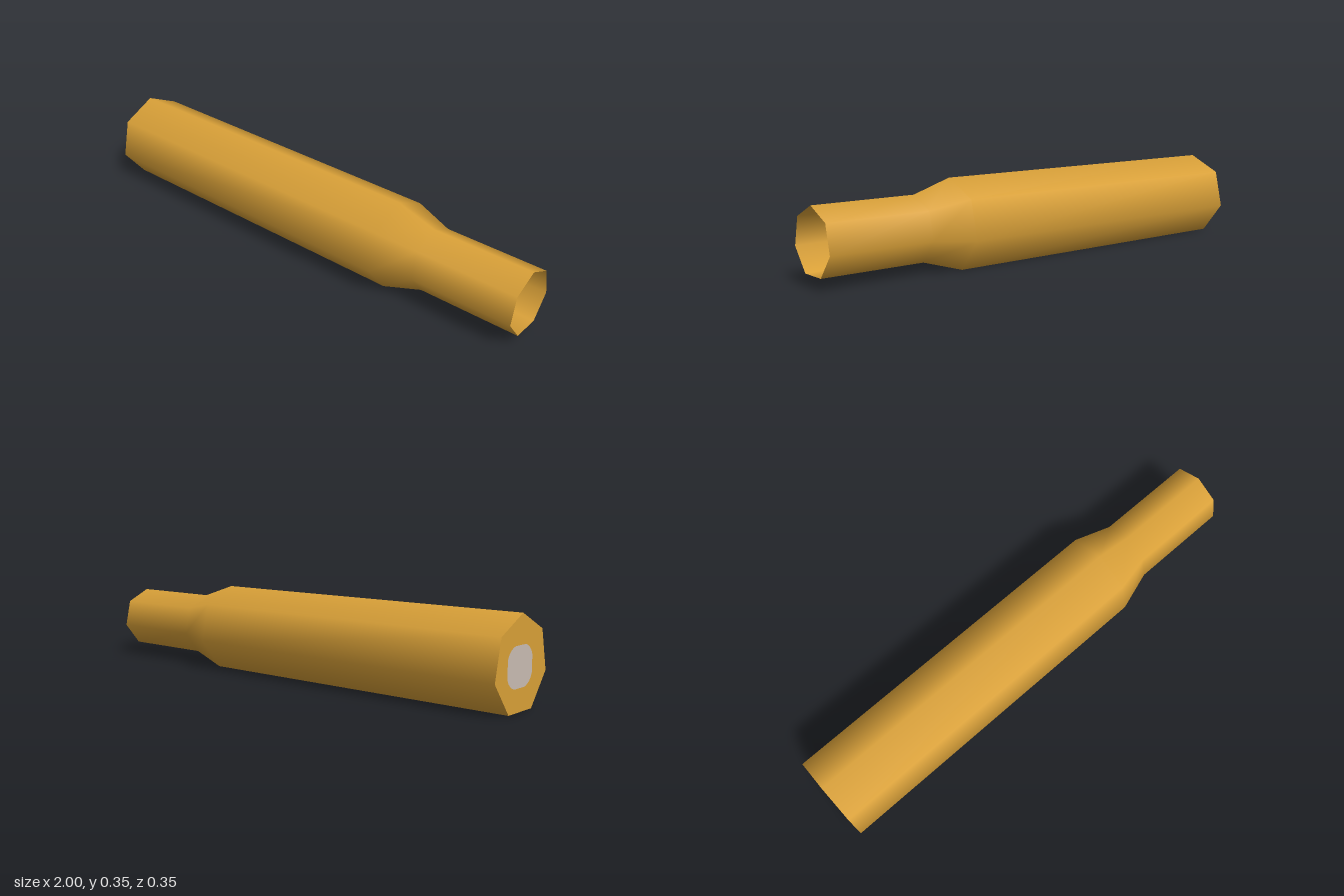
import * as THREE from 'three';

const SIDES = 7;
const BODY_RADIUS = 0.182;
const NECK_RADIUS = 0.1305;
const AXIS_Y = 0.1645;

// Rounded outline of the primer, in base-plane coordinates (u = z, v = y)
function primerOutline(path) {
  const l = -0.095, r = 0.075, b = 0.086 - AXIS_Y, t = 0.236 - AXIS_Y;
  const cu = 0.05, cv = 0.044;
  path.moveTo(l + cu, b);
  path.lineTo(r - cu, b);
  path.quadraticCurveTo(r - 0.01, b + 0.01, r, b + cv);
  path.lineTo(r, t - cv);
  path.quadraticCurveTo(r - 0.01, t - 0.01, r - cu, t);
  path.lineTo(l + cu, t);
  path.quadraticCurveTo(l + 0.01, t - 0.01, l, t - cv);
  path.lineTo(l, b + cv);
  path.quadraticCurveTo(l + 0.01, b + 0.01, l + cu, b);
  return path;
}

export function createModel() {
  const brass = new THREE.MeshStandardMaterial({ color: 0xdaa138, side: THREE.DoubleSide });
  brass.name = 'brass';
  const steel = new THREE.MeshStandardMaterial({ color: 0xcabdb3, side: THREE.DoubleSide });
  steel.name = 'primer grey';

  const model = new THREE.Group();
  model.name = 'cartridgeCase';

  function add(name, geometry, material) {
    const mesh = new THREE.Mesh(geometry, material);
    mesh.name = name;
    mesh.position.y = AXIS_Y;
    model.add(mesh);
    return mesh;
  }

  // Open tube: straight body, tapered shoulder, narrow neck, with one corner upward
  const profile = [
    [BODY_RADIUS, -1], [BODY_RADIUS, 0.42], [NECK_RADIUS, 0.58], [NECK_RADIUS, 1],
  ].map(([r, x]) => new THREE.Vector2(r, x));
  const tube = new THREE.LatheGeometry(profile, SIDES);
  tube.applyMatrix4(new THREE.Matrix4().makeBasis(
    new THREE.Vector3(0, 0, 1), new THREE.Vector3(1, 0, 0), new THREE.Vector3(0, 1, 0)));
  add('caseWall', tube, brass);

  // Flat base, cut out around the primer
  const corners = [];
  for (let i = 0; i < SIDES; i++) {
    const a = (i / SIDES) * Math.PI * 2 + Math.PI / 2;
    corners.push(new THREE.Vector2(Math.cos(a) * BODY_RADIUS, Math.sin(a) * BODY_RADIUS));
  }
  const base = new THREE.Shape(corners);
  base.holes.push(primerOutline(new THREE.Path()));
  const plates = [
    ['caseBase', base, brass],
    ['primer', primerOutline(new THREE.Shape()), steel],
  ];
  for (const [name, shape, material] of plates) {
    const geometry = new THREE.ShapeGeometry(shape, 6);
    geometry.rotateY(-Math.PI / 2);
    add(name, geometry, material).position.x = -1;
  }

  return model;
}
